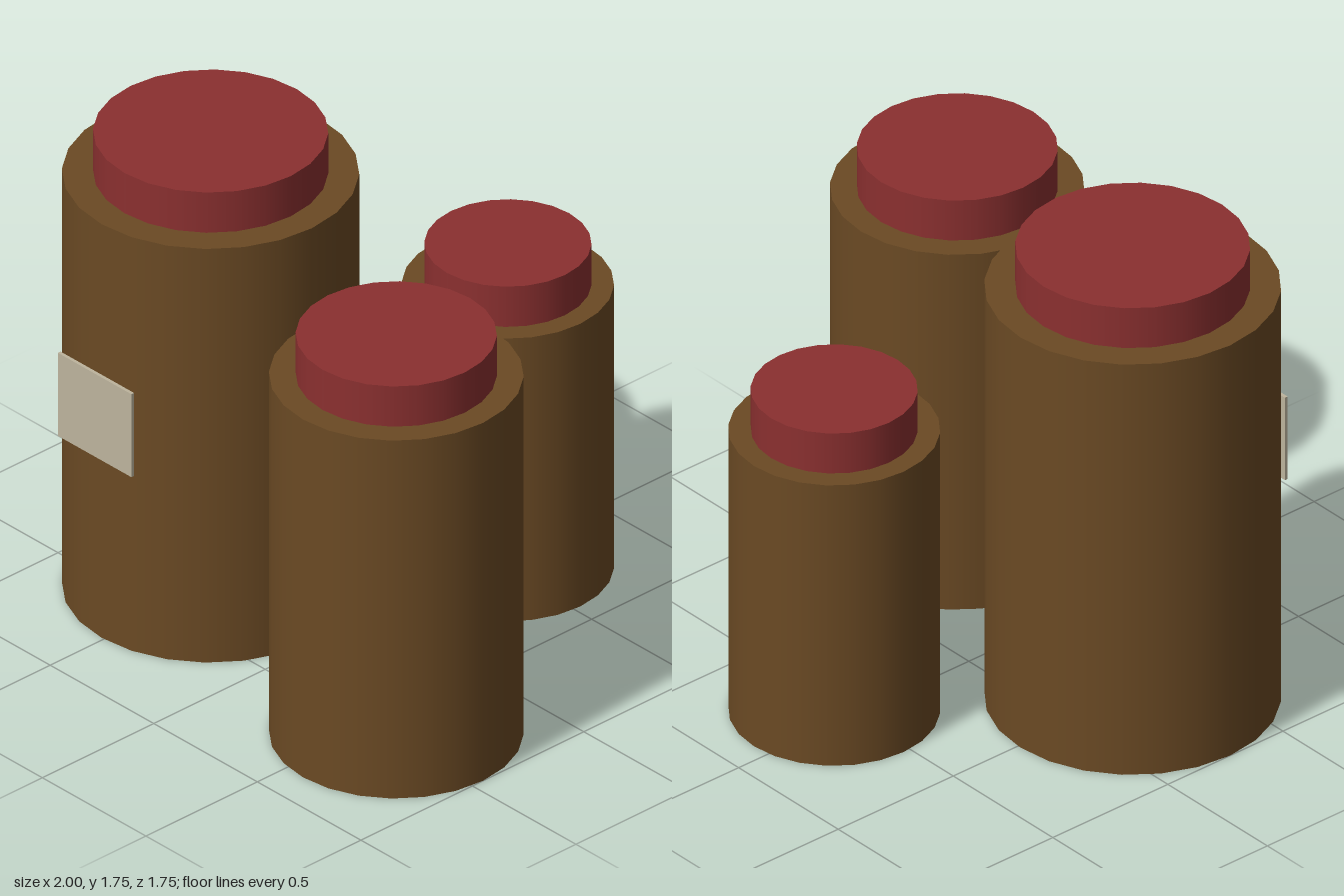
import * as THREE from 'three';

const glass = new THREE.MeshStandardMaterial({ color: 0x6b4a24 });
const red = new THREE.MeshStandardMaterial({ color: 0x8b3030 });
const paper = new THREE.MeshStandardMaterial({ color: 0xbdb49d });

// Upright cylinder standing on y = bottom
function drum(name, radius, bottom, top, material) {
  const mesh = new THREE.Mesh(new THREE.CylinderGeometry(radius, radius, top - bottom, 24), material);
  mesh.name = name;
  mesh.position.y = (bottom + top) / 2;
  return mesh;
}

// Jar body with a narrower lid on top
function jar(name, x, z, radius, height, lidRadius) {
  const group = new THREE.Group();
  group.name = name;
  group.position.set(x, 0, z);
  group.add(drum('jarBody', radius, 0, height, glass));
  group.add(drum('jarLid', lidRadius, height, height + 0.155, red));
  return group;
}

export function createModel() {
  const model = new THREE.Group();
  model.name = 'jars';
  model.add(
    jar('tallJar', -0.511, 0.27, 0.489, 1.595, 0.387),
    jar('mediumJar', 0.581, 0.452, 0.419, 1.38, 0.331),
    jar('smallJar', 0.067, -0.527, 0.349, 1.09, 0.275)
  );

  // Paper label just in front of the tall jar
  const label = new THREE.Mesh(new THREE.BoxGeometry(0.355, 0.32, 0.012), paper);
  label.name = 'label';
  label.position.set(-0.511, 0.872, 0.784);
  model.add(label);
  return model;
}
